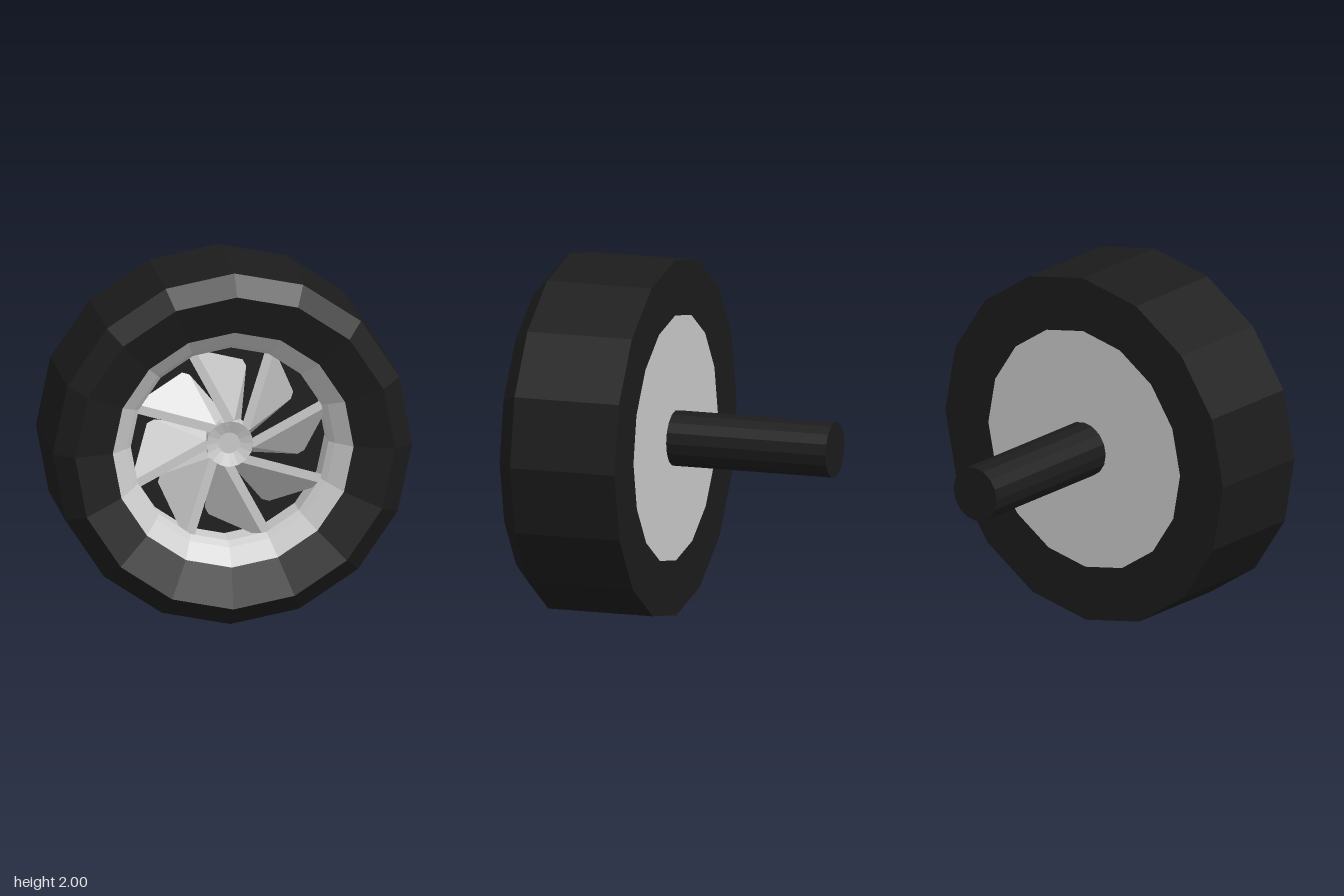
import * as THREE from 'three';

const SIDES = 16;
const grey = new THREE.MeshStandardMaterial({ color: 0xcccccc, flatShading: true });
const black = new THREE.MeshStandardMaterial({ color: 0x1c1c1c, flatShading: true });

// Turned part: profile points are [radius, z], spun around the wheel's z axis
function turned(name, profile, material, sides = SIDES) {
  const points = profile.map(([r, z]) => new THREE.Vector2(r, z));
  const geometry = new THREE.LatheGeometry(points, sides);
  geometry.rotateX(Math.PI / 2);
  geometry.rotateZ(-0.012);
  const mesh = new THREE.Mesh(geometry, material);
  mesh.name = name;
  return mesh;
}

function polar(degrees, radius) {
  const a = THREE.MathUtils.degToRad(degrees);
  return new THREE.Vector2(Math.cos(a) * radius, Math.sin(a) * radius);
}

// Swept spoke: a box whose front edge is a straight bar and whose back edge
// is shorter and turned clockwise, like a turbine blade
function spokeGeometry() {
  const width = 0.05;
  const front = { tip: polar(112, 0.58), root: polar(88, 0.12), z: 0.62 };
  const back = { tip: polar(77, 0.44), root: polar(55, 0.12), z: 0.455 };
  const geometry = new THREE.BoxGeometry(1, 1, 1);
  const position = geometry.attributes.position;
  for (let i = 0; i < position.count; i++) {
    const edge = position.getZ(i) > 0 ? front : back;
    const along = edge.tip.clone().sub(edge.root).normalize();
    const point = position.getY(i) > 0 ? edge.tip : edge.root;
    const offset = position.getX(i) * width;
    position.setXYZ(i, point.x + along.y * offset, point.y - along.x * offset, edge.z);
  }
  geometry.computeVertexNormals();
  return geometry;
}

export function createModel() {
  const wheel = new THREE.Group();
  wheel.name = 'wheel';
  wheel.position.y = 1;

  // Tyre with chamfered front shoulder and dished front wall
  wheel.add(turned('tyre', [[0.69, 0.11], [1, 0.11], [1, 0.72], [0.89, 0.82], [0.67, 0.75]], black));

  // Sloping rim, dark backing and flat back plate
  wheel.add(turned('rim', [[0.67, 0.75], [0.58, 0.66], [0.55, 0.62], [0.55, 0.47]], grey));
  wheel.add(turned('innerDisc', [[0.55, 0.47], [0, 0.47]], black));
  wheel.add(turned('backPlate', [[0, 0.11], [0.69, 0.11]], grey));

  // Hub with a shallow dished cap
  wheel.add(turned('hub', [[0.13, 0.47], [0.13, 0.625], [0.06, 0.6], [0, 0.6]], grey));

  // Eight swept spokes
  const spokes = new THREE.Group();
  spokes.name = 'spokes';
  const blade = spokeGeometry();
  for (let i = 0; i < 8; i++) {
    const spoke = new THREE.Mesh(blade, grey);
    spoke.name = 'spoke';
    spoke.rotation.z = (i * Math.PI) / 4;
    spokes.add(spoke);
  }
  wheel.add(spokes);

  // Axle out of the back
  wheel.add(turned('axle', [[0, -0.82], [0.155, -0.82], [0.155, 0.12]], black));

  const model = new THREE.Group();
  model.add(wheel);
  return model;
}
